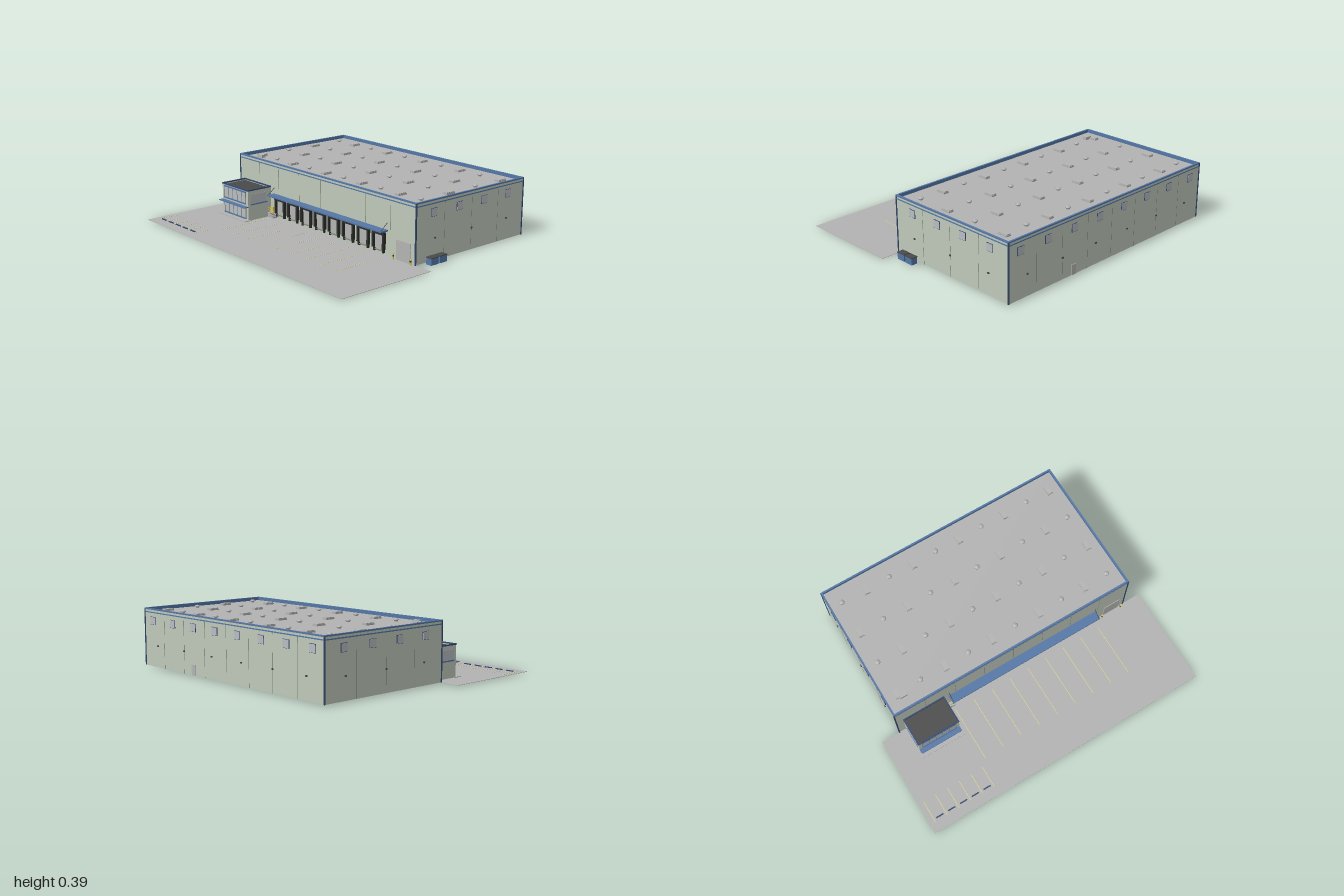
import * as THREE from 'three';

const mat = (color) => new THREE.MeshStandardMaterial({ color, side: THREE.DoubleSide });
const M = {
  wall: mat(0xbfc8ba), blue: mat(0x5577a6), navy: mat(0x34496e), grey: mat(0xb2b2b2), door: mat(0xb4b4b2),
  dark: mat(0x4a4a4a), black: mat(0x2c2e2c), glass: mat(0xb8bcc2), yellow: mat(0xd8c24a), line: mat(0xd6d08c), seam: mat(0x7f887c),
};

// Box given by its minimum and maximum on every axis
function box(parent, name, m, x0, x1, y0, y1, z0, z1) {
  const mesh = new THREE.Mesh(new THREE.BoxGeometry(x1 - x0, y1 - y0, z1 - z0), m);
  mesh.position.set((x0 + x1) / 2, (y0 + y1) / 2, (z0 + z1) / 2);
  mesh.name = name;
  parent.add(mesh);
  return mesh;
}

// Rectangular ring with inner opening, raised from y0 to y1
function ring(parent, name, m, x0, x1, z0, z1, t, y0, y1) {
  const rect = (C, i) => new C([[x0 + i, z0 + i], [x1 - i, z0 + i], [x1 - i, z1 - i], [x0 + i, z1 - i]]
    .map(([x, z]) => new THREE.Vector2(x, -z)));
  const shape = rect(THREE.Shape, 0);
  shape.holes.push(rect(THREE.Path, t));
  const geo = new THREE.ExtrudeGeometry(shape, { depth: y1 - y0, bevelEnabled: false });
  geo.rotateX(-Math.PI / 2);
  const mesh = new THREE.Mesh(geo, m);
  mesh.position.y = y0;
  mesh.name = name;
  parent.add(mesh);
}

function rod(parent, name, m, a, b, r) {
  const p = new THREE.Vector3(...a), q = new THREE.Vector3(...b);
  const mesh = new THREE.Mesh(new THREE.CylinderGeometry(r, r, p.distanceTo(q), 8), m);
  mesh.position.copy(p).add(q).multiplyScalar(0.5);
  mesh.quaternion.setFromUnitVectors(new THREE.Vector3(0, 1, 0), q.sub(p).normalize());
  mesh.name = name;
  parent.add(mesh);
}

function group(root, name) {
  const g = new THREE.Group();
  g.name = name;
  root.add(g);
  return g;
}

const G = 0.008, X = 0.87, ZB = -0.825, ZF = 0.135, ZC = (ZB + ZF) / 2;

function warehouse(root) {
  const g = group(root, 'warehouse');
  ring(g, 'walls', M.wall, -X, X, ZB, ZF, 0.004, G, 0.385);
  ring(g, 'parapetCap', M.blue, -X - 0.003, X + 0.003, ZB - 0.003, ZF + 0.003, 0.012, 0.381, 0.39);
  ring(g, 'parapetLining', M.blue, -X + 0.004, X - 0.004, ZB + 0.004, ZF - 0.004, 0.003, 0.366, 0.383);
  ring(g, 'blueBand', M.blue, -X - 0.002, X + 0.002, ZB - 0.002, ZF + 0.002, 0.003, 0.361, 0.368);
  box(g, 'roof', M.grey, -X + 0.003, X - 0.003, 0.362, 0.367, ZB + 0.003, ZF - 0.003);
  for (const x of [-X, X]) for (const z of [ZB, ZF])
    box(g, 'cornerTrim', M.navy, x - 0.004, x + 0.004, G, 0.386, z - 0.004, z + 0.004);

  // Panel joints
  for (let i = 1; i < 8; i++) for (const z of [ZB, ZF]) {
    const x = -X + i * X / 4;
    box(g, 'panelJoint', M.seam, x - 0.001, x + 0.001, z === ZF ? 0.175 : G, 0.361, z - 0.001, z + 0.001);
  }
  for (let i = 1; i < 4; i++) for (const x of [-X, X]) {
    const z = ZB + i * (ZF - ZB) / 4;
    box(g, 'panelJoint', M.seam, x - 0.001, x + 0.001, G, 0.361, z - 0.001, z + 0.001);
  }

  // High windows and wall lights on the sides and back
  for (const s of [-1, 1]) {
    for (let i = 0; i < 4; i++) {
      const z = ZC + (i - 1.5) * 0.222, x = s * (X + 0.001);
      box(g, 'windowFrame', M.navy, x - 0.003, x + 0.003, 0.284, 0.336, z - 0.026, z + 0.026);
      box(g, 'windowGlass', M.glass, x - 0.004, x + 0.004, 0.286, 0.334, z - 0.025, z + 0.025);
    }
    for (const z of [-0.667, -0.345, -0.024])
      box(g, 'wallLight', M.dark, s * X - 0.006, s * X + 0.006, 0.145, 0.154, z - 0.006, z + 0.006);
  }
  for (let i = 0; i < 8; i++) {
    const x = (i - 3.5) * 0.222, z = ZB - 0.001;
    box(g, 'windowFrame', M.navy, x - 0.026, x + 0.026, 0.284, 0.336, z - 0.003, z + 0.003);
    box(g, 'windowGlass', M.glass, x - 0.025, x + 0.025, 0.286, 0.334, z - 0.004, z + 0.004);
  }
  for (let i = 0; i < 6; i++) {
    const x = (i - 2.5) * 0.29;
    box(g, 'wallLight', M.dark, x - 0.006, x + 0.006, 0.145, 0.154, ZB - 0.006, ZB + 0.006);
  }
  box(g, 'backDoor', M.door, 0.317, 0.353, G, 0.075, ZB - 0.004, ZB + 0.005);
}

// Skylights and vents alternate in a checker pattern
function roofUnits(root) {
  const g = group(root, 'roofUnits');
  const profile = [[0.011, 0], [0.011, 0.008], [0.017, 0.009], [0.017, 0.014], [0.011, 0.019], [0, 0.021]]
    .map(([r, y]) => new THREE.Vector2(r, y));
  const ventGeo = new THREE.LatheGeometry(profile, 16);
  [-0.705, -0.467, -0.229, 0.01].forEach((z, r) => {
    for (let i = 0; i < 10; i++) {
      const x = (i - 4.5) * 0.174;
      if ((i + r) % 2) {
        box(g, 'skylightCurb', M.grey, x - 0.019, x + 0.019, 0.366, 0.376, z - 0.034, z + 0.034);
        box(g, 'skylight', M.door, x - 0.016, x + 0.016, 0.375, 0.381, z - 0.031, z + 0.031);
      } else {
        const vent = new THREE.Mesh(ventGeo, M.grey);
        vent.position.set(x, 0.366, z);
        vent.name = 'roofVent';
        g.add(vent);
      }
    }
  });
  box(g, 'roofHatch', M.door, -0.778, -0.728, 0.366, 0.387, 0.026, 0.056);
}

function office(root) {
  const g = group(root, 'office');
  const x0 = -0.82, x1 = -0.525, z1 = 0.328;
  ring(g, 'officeWalls', M.wall, x0, x1, ZF, z1, 0.005, G, 0.216);
  ring(g, 'officeCap', M.navy, x0 - 0.003, x1 + 0.003, ZF, z1 + 0.003, 0.009, 0.213, 0.221);
  box(g, 'officeRoof', M.dark, x0 + 0.004, x1 - 0.004, 0.203, 0.207, ZF, z1 - 0.004);
  box(g, 'entranceStep', M.grey, x0 - 0.01, x1 + 0.01, 0, 0.012, z1 - 0.02, 0.367);
  box(g, 'entranceCanopy', M.blue, x0, x1, 0.1, 0.106, z1, 0.362);
  // Glazing on the front, both storeys
  for (const [y0, y1] of [[0.02, 0.094], [0.122, 0.2]]) {
    box(g, 'frontGlass', M.glass, -0.795, -0.55, y0, y1, z1 - 0.004, z1 + 0.002);
    box(g, 'frontSill', M.blue, -0.797, -0.548, y0 - 0.004, y0 + 0.005, z1 - 0.004, z1 + 0.006);
    for (let i = 0; i < 6; i++) {
      const x = -0.795 + i * 0.049;
      box(g, 'mullion', M.seam, x - 0.0015, x + 0.0015, y0, y1, z1, z1 + 0.004);
    }
  }
  box(g, 'frontHead', M.blue, -0.797, -0.548, 0.198, 0.208, z1, z1 + 0.004);
  // Upper side windows
  for (const x of [x0, x1]) {
    box(g, 'sideGlass', M.glass, x - 0.002, x + 0.002, 0.12, 0.188, 0.18, 0.305);
    box(g, 'sideSill', M.blue, x - 0.005, x + 0.005, 0.114, 0.122, 0.168, 0.307);
  }
}

function loadingDocks(root) {
  const g = group(root, 'loadingDocks');
  for (let i = 0; i < 8; i++) {
    const x = -0.41 + i * 0.139;
    box(g, 'dockDoor', M.door, x - 0.042, x + 0.042, 0.035, 0.14, ZF - 0.008, ZF + 0.004);
    box(g, 'sealHead', M.black, x - 0.053, x + 0.053, 0.136, 0.154, ZF, ZF + 0.02);
    box(g, 'dockLeveler', M.seam, x - 0.036, x + 0.036, 0.03, 0.036, ZF, ZF + 0.012);
    for (const s of [-1, 1]) {
      const px = x + s * 0.046;
      box(g, 'sealPad', M.black, px - 0.007, px + 0.007, 0.045, 0.137, ZF, ZF + 0.02);
      box(g, 'bumper', M.black, x + s * 0.04 - 0.006, x + s * 0.04 + 0.006, 0.022, 0.042, ZF, ZF + 0.014);
    }
  }
  box(g, 'dockCanopy', M.blue, -0.49, 0.635, 0.165, 0.174, ZF, 0.195);
  for (let i = 0; i < 2; i++) {
    const x = -0.483 + i * 1.111;
    rod(g, 'canopyTie', M.dark, [x, 0.218, ZF], [x, 0.172, 0.19], 0.002);
  }
}

// Steps, rails and personnel door between office and docks
function dockStair(root) {
  const g = group(root, 'dockStair');
  box(g, 'stairLanding', M.grey, -0.523, -0.492, G, 0.04, ZF, 0.167);
  for (let i = 0; i < 3; i++)
    box(g, 'stairTread', M.grey, -0.492 + i * 0.01, -0.482 + i * 0.01, G, 0.033 - i * 0.008, ZF, 0.167);
  box(g, 'stairDoor', M.yellow, -0.525, -0.496, 0.04, 0.077, ZF, ZF + 0.005);
  for (const y of [0.058, 0.073]) rod(g, 'stairRail', M.yellow, [-0.522, y, 0.165], [-0.494, y, 0.165], 0.0015);
  for (const x of [-0.522, -0.494]) rod(g, 'railPost', M.yellow, [x, 0.04, 0.165], [x, 0.073, 0.165], 0.0015);
  rod(g, 'slopedRail', M.yellow, [-0.494, 0.073, 0.165], [-0.464, 0.045, 0.165], 0.0015);
}

function driveInDoor(root) {
  const g = group(root, 'driveInDoor');
  box(g, 'doorPanel', M.door, 0.71, 0.83, G, 0.133, ZF - 0.006, ZF + 0.004);
  for (const x of [0.696, 0.844]) {
    rod(g, 'bollard', M.yellow, [x, G, 0.148], [x, 0.045, 0.148], 0.005);
    rod(g, 'bollardBand', M.black, [x, 0.026, 0.148], [x, 0.036, 0.148], 0.0055);
  }
}

function yard(root) {
  const g = group(root, 'yard');
  box(g, 'pavement', M.grey, -1, 1, G - 0.002, G, ZF, 0.825);
  for (let i = 0; i < 9; i++) {
    const x = -0.48 + i * 0.139;
    box(g, 'laneLine', M.line, x - 0.002, x + 0.002, G, G + 0.001, 0.195, 0.57);
  }
  for (let i = 0; i < 6; i++) {
    const x = -0.963 + i * 0.087;
    box(g, 'parkingLine', M.line, x - 0.002, x + 0.002, G, G + 0.001, 0.615, 0.765);
    if (i < 5) box(g, 'wheelStop', M.navy, x + 0.018, x + 0.07, G, G + 0.006, 0.741, 0.749);
  }
}

function wasteBins(root) {
  const g = group(root, 'wasteBins');
  for (const z of [-0.036, 0.036]) {
    box(g, 'binBody', M.blue, 0.892, 0.934, G, 0.05, z - 0.03, z + 0.03);
    box(g, 'binLid', M.dark, 0.89, 0.936, 0.05, 0.055, z - 0.032, z + 0.032);
  }
}

export function createModel() {
  const root = new THREE.Group();
  root.name = 'distributionWarehouse';
  [warehouse, roofUnits, office, loadingDocks, dockStair, driveInDoor, yard, wasteBins].forEach((f) => f(root));
  return root;
}
